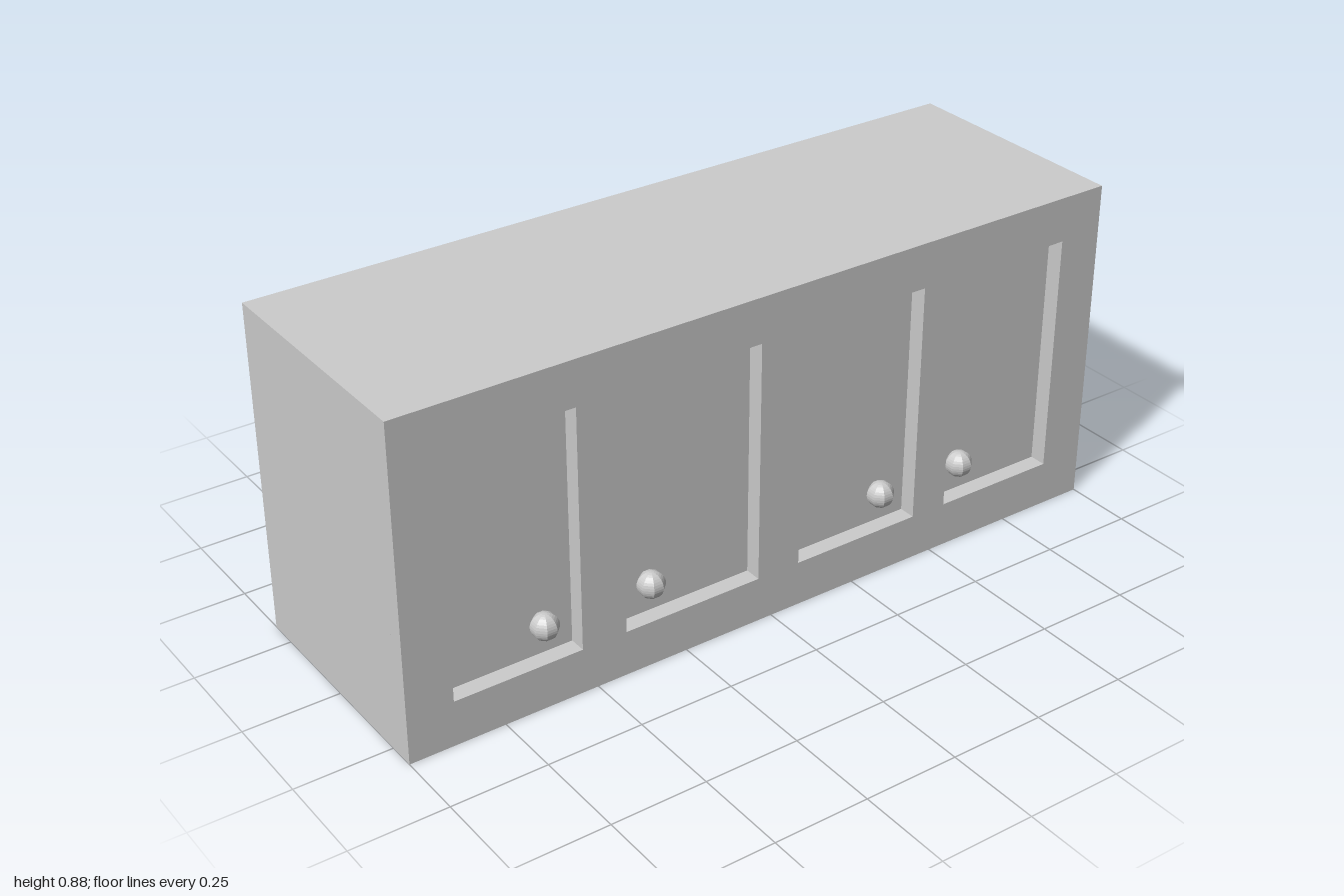
import * as THREE from 'three';

const WIDTH = 2, HEIGHT = 0.875;
const BACK = -0.327, FRONT = 0.322, RECESS = 0.045;
const DOOR_BOTTOM = 0.12, DOOR_TOP = 0.757;
const KNOB_Y = 0.205, KNOB_RADIUS = 0.035;

// Each door: left edge, right edge and knob position along x
const DOORS = [
  { x0: -0.88, x1: -0.54, knob: -0.623 },
  { x0: -0.42, x1: -0.04, knob: -0.332 },
  { x0: 0.08, x1: 0.44, knob: 0.353 },
  { x0: 0.54, x1: 0.88, knob: 0.607 },
];

function rectangle(PathType, x0, y0, x1, y1) {
  return new PathType([[x0, y0], [x1, y0], [x1, y1], [x0, y1]].map(([x, y]) => new THREE.Vector2(x, y)));
}

export function createModel() {
  const model = new THREE.Group();
  model.name = 'wallCabinet';
  const material = new THREE.MeshStandardMaterial({ color: 0xcccccc, flatShading: true });

  const add = (name, geometry, x, y, z) => {
    const mesh = new THREE.Mesh(geometry, material);
    mesh.name = name;
    mesh.position.set(x, y, z);
    model.add(mesh);
    return mesh;
  };

  // Carcass; its front face is the sunken surface of the doors
  const depth = FRONT - RECESS - BACK;
  add('carcass', new THREE.BoxGeometry(WIDTH, HEIGHT, depth), 0, HEIGHT / 2, BACK + depth / 2);

  // Front frame with one opening per door
  const frame = rectangle(THREE.Shape, -WIDTH / 2, 0, WIDTH / 2, HEIGHT);
  for (const { x0, x1 } of DOORS) {
    frame.holes.push(rectangle(THREE.Path, x0, DOOR_BOTTOM, x1, DOOR_TOP).closePath());
  }
  const frameGeometry = new THREE.ExtrudeGeometry(frame, { depth: RECESS, bevelEnabled: false });
  add('frontFrame', frameGeometry, 0, 0, FRONT - RECESS);

  // Eight-sided round knobs, turned so a facet faces forward
  const knobGeometry = new THREE.SphereGeometry(KNOB_RADIUS, 8, 16).rotateY(Math.PI / 8);
  DOORS.forEach(({ knob }, i) => add(`doorKnob${i + 1}`, knobGeometry, knob, KNOB_Y, 0.296));

  return model;
}
